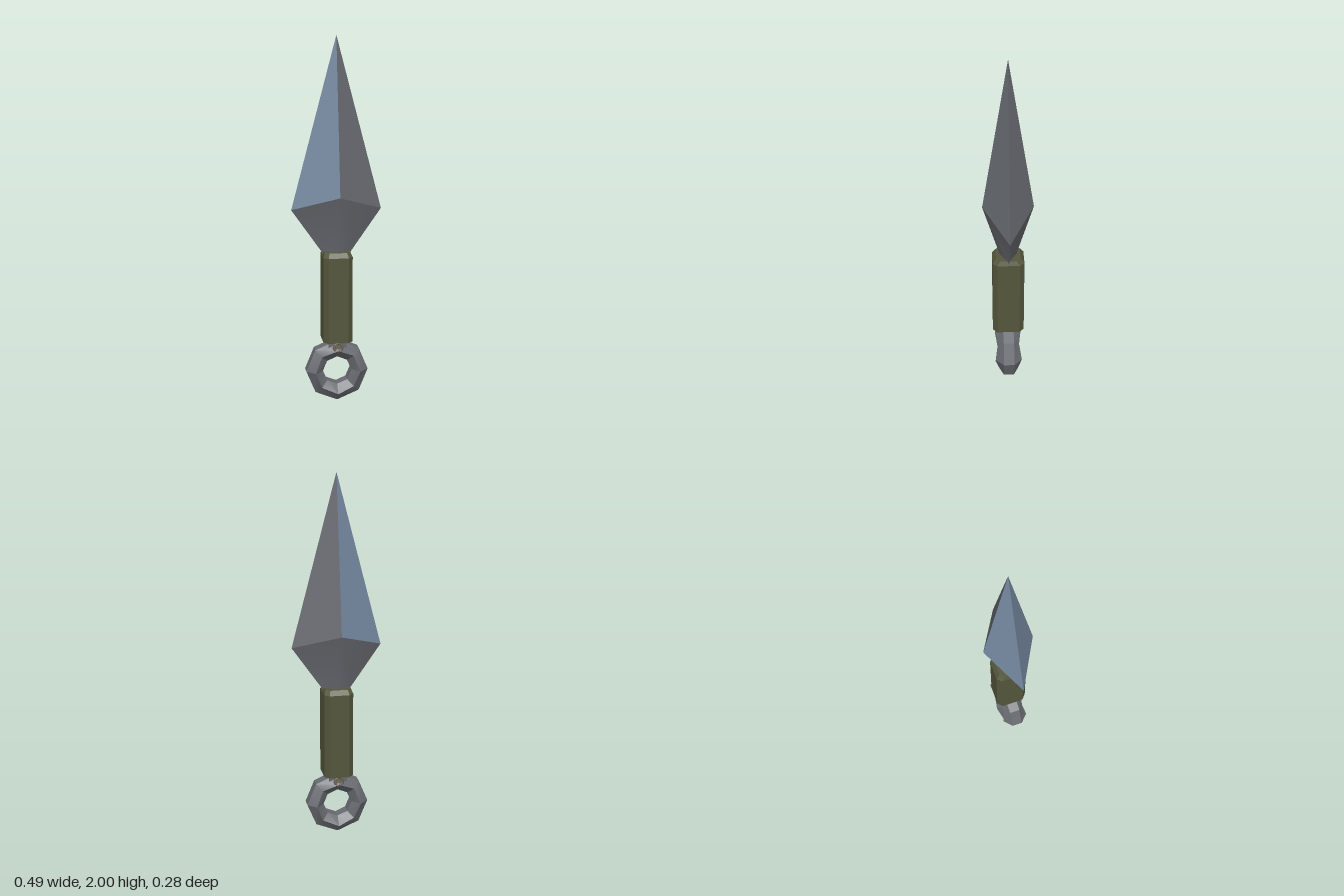
import * as THREE from 'three';
import { toCreasedNormals } from 'three/addons/utils/BufferGeometryUtils.js';

const mat = (name, color) => {
  const m = new THREE.MeshStandardMaterial({ color });
  m.name = name;
  return m;
};

// Skins a list of equal-length cross-sections (arrays of [x, y, z]).
// close joins the last section to the first, otherwise both ends are capped.
function loft(sections, { close = false, crease = 0.1, caps = true } = {}) {
  const n = sections[0].length, rows = sections.length, idx = [];
  for (let i = 0; i < rows - (close ? 0 : 1); i++) {
    const a = i * n, b = ((i + 1) % rows) * n;
    for (let j = 0; j < n; j++) {
      const k = (j + 1) % n;
      idx.push(a + j, b + j, b + k, a + j, b + k, a + k);
    }
  }
  if (!close && caps) {
    const e = (rows - 1) * n;
    for (let j = 1; j < n - 1; j++) idx.push(0, j, j + 1, e, e + j + 1, e + j);
  }
  const g = new THREE.BufferGeometry();
  g.setAttribute('position', new THREE.Float32BufferAttribute(sections.flat(2), 3));
  g.setIndex(idx);
  return toCreasedNormals(g, crease);
}

// Horizontal outlines, ordered so that lofting upwards faces outwards
const diamond = (x, yx, z, yz) => [[x, yx, 0], [0, yz, -z], [-x, yx, 0], [0, yz, z]].reverse();
const octagon = (x, z, c, y) => [
  [x, y, z - c], [x - c, y, z], [c - x, y, z], [-x, y, z - c],
  [-x, y, c - z], [c - x, y, -z], [x - c, y, -z], [x, y, c - z],
];

export function createModel() {
  const group = new THREE.Group();
  const iron = mat('greyIron', 0x686b71);
  const steel = mat('blueSteel', 0x778aa2);
  const wrap = mat('oliveWrap', 0x54563c);
  const brass = mat('dullBrass', 0x6e675a);
  const add = (name, geometry, material) => {
    const m = new THREE.Mesh(geometry, material);
    m.name = name;
    group.add(m);
    return m;
  };

  // Long upper blade: four facets, steel on the -x side and iron on the +x side
  const tip = [0, 2, 0];
  for (const side of [-1, 1]) {
    const pts = [];
    for (const face of [-1, 1]) {
      const edge = [side * 0.245, 1.08, 0], ridge = [0, 1.16, face * 0.138];
      pts.push(...(side * face > 0 ? [ridge, edge, tip] : [edge, ridge, tip]));
    }
    const g = new THREE.BufferGeometry();
    g.setAttribute('position', new THREE.Float32BufferAttribute(pts.flat(), 3));
    g.computeVertexNormals();
    add(side < 0 ? 'rightBladeFacets' : 'leftBladeFacets', g, side < 0 ? steel : iron);
  }

  // Shoulder of the blade narrowing into the handle
  const shoulder = loft(
    [diamond(0.245, 1.08, 0.138, 1.16), diamond(0.08, 0.845, 0.045, 0.845), diamond(0.07, 0.8, 0.04, 0.8)].map((s) => s.reverse()),
    { crease: 1.15, caps: false });
  add('bladeShoulder', shoulder, iron);

  // Wrapped grip with chamfered corners and a bevelled top
  add('grip', loft([
    octagon(0.08, 0.088, 0.026, 0.35),
    octagon(0.08, 0.088, 0.026, 0.825),
    octagon(0.07, 0.068, 0.022, 0.85),
  ].map((s) => s.reverse()).reverse().map((s) => s.reverse()).reverse().map((s) => s.reverse())), wrap);

  // Eight-sided pommel ring, slightly thicker at every other corner
  const ringSections = [];
  for (let i = 0; i < 8; i++) {
    const a = i * Math.PI / 4, w = i % 2 ? 0.06 : 0.075;
    const profile = [[0.08, -0.03], [0.125, -w], [0.172, -0.03], [0.172, 0.03], [0.125, w], [0.08, 0.03]];
    ringSections.push(profile.map(([r, z]) => [r * Math.cos(a), 0.177 + r * Math.sin(a), z]));
  }
  add('pommelRing', loft(ringSections.map((s) => s.reverse()), { close: true, crease: 0.45 }), iron);

  // Rivet through the top of the ring, with a rim on each side
  const pin = add('rivetPin', new THREE.CylinderGeometry(0.02, 0.02, 0.13, 10), brass);
  pin.rotation.x = Math.PI / 2;
  pin.position.y = 0.32;
  for (const s of [-1, 1]) {
    const rim = add(s > 0 ? 'frontRivetRim' : 'backRivetRim', new THREE.TorusGeometry(0.023, 0.008, 6, 12), brass);
    rim.position.set(0, 0.32, s * 0.064);
  }

  // Tang joining the grip to the ring
  const tang = add('tang', new THREE.BoxGeometry(0.1, 0.06, 0.09), iron);
  tang.position.y = 0.335;

  // Any lofted shell that came out inside out is turned by checking its volume
  group.traverse((o) => {
    if (!o.isMesh || !['bladeShoulder', 'grip', 'pommelRing'].includes(o.name)) return;
    const p = o.geometry.attributes.position, v = [0, 1, 2].map(() => new THREE.Vector3());
    const c = new THREE.Vector3(0, 0.9, 0);
    let volume = 0;
    for (let i = 0; i < p.count; i += 3) {
      v.forEach((q, k) => q.fromBufferAttribute(p, i + k).sub(o.name === 'bladeShoulder' ? c : new THREE.Vector3()));
      volume += v[0].dot(v[1].clone().cross(v[2]));
    }
    if (volume > 0) return;
    const nrm = o.geometry.attributes.normal;
    for (const at of [p, nrm]) {
      for (let i = 0; i < at.count; i += 3) {
        const t = [at.getX(i), at.getY(i), at.getZ(i)];
        at.setXYZ(i, at.getX(i + 1), at.getY(i + 1), at.getZ(i + 1));
        at.setXYZ(i + 1, ...t);
      }
    }
    for (let i = 0; i < nrm.count; i++) nrm.setXYZ(i, -nrm.getX(i), -nrm.getY(i), -nrm.getZ(i));
  });
  return group;
}
